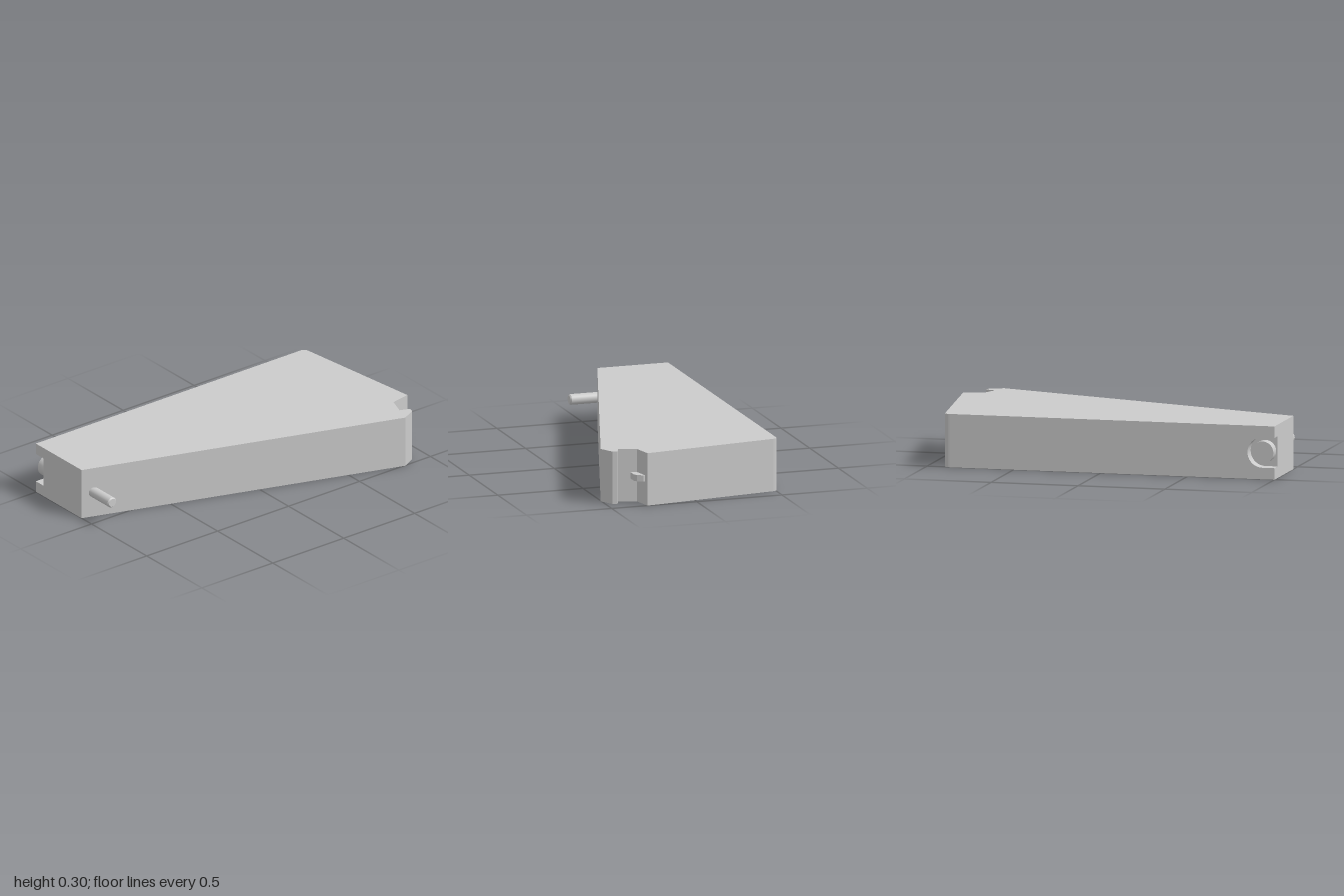
import * as THREE from 'three';

const H = 0.3, PIN_X = -0.93, MID_Y = H / 2, BACK = -0.505, SLOT_Z = -0.435, SLOT_R = 0.085;
const mat = new THREE.MeshStandardMaterial({ color: 0xcccccc });

function add(group, name, geometry) {
  const mesh = new THREE.Mesh(geometry, mat);
  mesh.name = name;
  group.add(mesh);
  return mesh;
}

// Extrude a plan outline given as [x, z] points upwards from y0
function slab(points, y0, height) {
  const shape = new THREE.Shape(points.map(([x, z]) => new THREE.Vector2(x, -z)));
  return new THREE.ExtrudeGeometry(shape, { depth: height, bevelEnabled: false })
    .rotateX(-Math.PI / 2).translate(0, y0, 0);
}

// Rod along z turned from a [radius, z] profile
function rod(profile) {
  return new THREE.LatheGeometry(profile.map(([r, z]) => new THREE.Vector2(r, z)), 32)
    .rotateX(Math.PI / 2).translate(PIN_X, MID_Y, 0);
}

export function createModel() {
  const group = new THREE.Group();

  // Tapered body, with a rounded rear corner and a hooked latch notch
  const corner = [];
  for (let i = 0; i <= 6; i++) {
    const t = i / 6, u = 1 - t;
    corner.push([
      u * u * 0.87 + 2 * u * t * 0.896 + t * t * 0.901,
      u * u * -0.509 + 2 * u * t * -0.509 + t * t * -0.48,
    ]);
  }
  add(group, 'body', slab([
    [-1, SLOT_Z], [-0.8, SLOT_Z], [-0.8, BACK],
    ...corner,
    [1, 0.29], [0.885, 0.313], [0.85, 0.413], [0.908, 0.434], [0.9, 0.463],
    [0.82, 0.504], [-1, -0.09],
  ], 0, H));

  // Rear end piece with a round-ended slot open to the narrow end
  const end = new THREE.Shape();
  end.moveTo(-1, 0);
  end.lineTo(-0.8, 0);
  end.lineTo(-0.8, H);
  end.lineTo(-1, H);
  end.lineTo(-1, MID_Y + SLOT_R);
  end.lineTo(PIN_X, MID_Y + SLOT_R);
  end.absarc(PIN_X, MID_Y, SLOT_R, Math.PI / 2, -Math.PI / 2, true);
  end.lineTo(-1, MID_Y - SLOT_R);
  end.closePath();
  add(group, 'slottedEnd', new THREE.ExtrudeGeometry(end, {
    depth: SLOT_Z - BACK, bevelEnabled: false, curveSegments: 24,
  }).translate(0, 0, BACK));

  // Hinge pin at the front and its head inside the slot
  add(group, 'hingePin', rod([
    [0.03, -0.1], [0.03, 0.093], [0.03, 0.093], [0.024, 0.1], [0.024, 0.1], [0, 0.1],
  ]));
  add(group, 'pinHead', new THREE.CylinderGeometry(0.062, 0.062, 0.075, 32)
    .rotateX(Math.PI / 2).translate(PIN_X, MID_Y, -0.46));

  // Small catch in the latch notch
  add(group, 'latchCatch', slab([
    [0.86, 0.3], [0.97, 0.29], [0.972, 0.303], [0.955, 0.336], [0.935, 0.348], [0.868, 0.348],
  ], 0.132, 0.036));

  return group;
}
